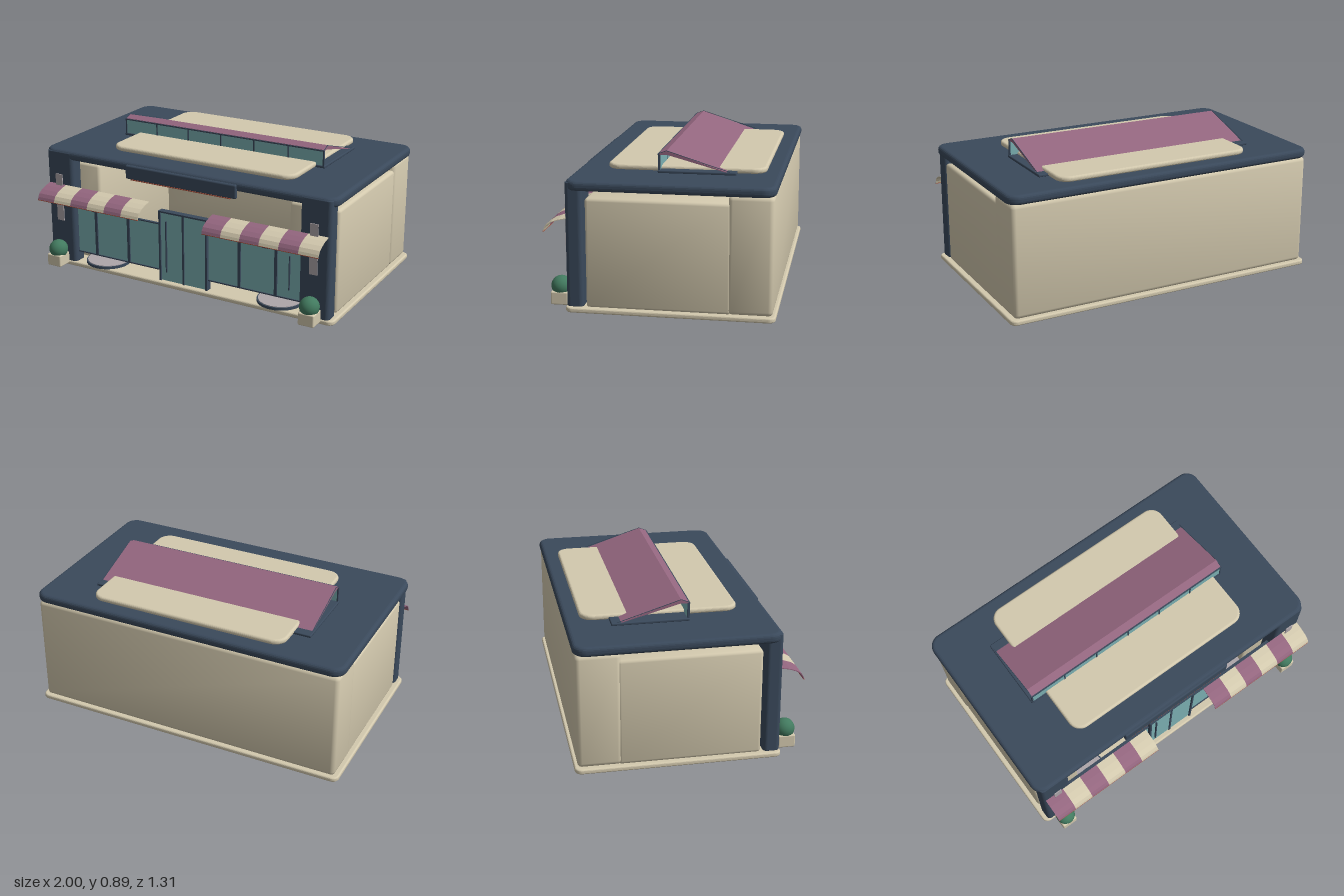
import * as THREE from 'three';
import { RoundedBoxGeometry } from 'three/addons/geometries/RoundedBoxGeometry.js';

export function createModel() {
  const group = new THREE.Group();
  const paint = (name, color) => {
    const m = new THREE.MeshStandardMaterial({ color });
    m.name = name;
    return m;
  };
  const cream = paint('cream', 0xd3c9ae);
  const navy = paint('navy', 0x3a495b);
  const teal = paint('tealGlass', 0x7cb1b3);
  const mauve = paint('mauve', 0x94667f);
  const green = paint('leafGreen', 0x427a5f);
  const red = paint('brickRed', 0xae5540);
  const grey = paint('lilacGrey', 0xaea6aa);

  const add = (name, geo, mat, x = 0, y = 0, z = 0) => {
    const m = new THREE.Mesh(geo, mat);
    m.name = name;
    m.position.set(x, y, z);
    group.add(m);
    return m;
  };
  // Box given by its limits on each axis, optionally with rounded edges
  const box = (name, mat, [x0, x1], [y0, y1], [z0, z1], r = 0) => {
    const s = [x1 - x0, y1 - y0, z1 - z0];
    const geo = r ? new RoundedBoxGeometry(...s, 3, r) : new THREE.BoxGeometry(...s);
    return add(name, geo, mat, (x0 + x1) / 2, (y0 + y1) / 2, (z0 + z1) / 2);
  };
  // Lean the normals outwards from the middle so that broad faces shade softly
  const soften = (mesh, amount) => {
    const { position, normal } = mesh.geometry.attributes;
    mesh.geometry.computeBoundingBox();
    const size = mesh.geometry.boundingBox.getSize(new THREE.Vector3());
    const p = new THREE.Vector3(), n = new THREE.Vector3();
    for (let i = 0; i < position.count; i++) {
      p.fromBufferAttribute(position, i).divide(size);
      n.fromBufferAttribute(normal, i).addScaledVector(p, 2 * amount).normalize();
      normal.setXYZ(i, n.x, n.y, n.z);
    }
  };
  // Flat slab with rounded plan corners and a soft rim
  const slab = (name, mat, [x0, x1], [y0, y1], [z0, z1], r, b) => {
    const w = (x1 - x0) / 2 - b, d = (z1 - z0) / 2 - b;
    const s = new THREE.Shape();
    s.moveTo(-w + r, -d);
    s.lineTo(w - r, -d);
    s.absarc(w - r, -d + r, r, -Math.PI / 2, 0);
    s.absarc(w - r, d - r, r, 0, Math.PI / 2);
    s.absarc(-w + r, d - r, r, Math.PI / 2, Math.PI);
    s.absarc(-w + r, -d + r, r, Math.PI, Math.PI * 1.5);
    const geo = new THREE.ExtrudeGeometry(s, {
      depth: y1 - y0 - 2 * b, bevelThickness: b, bevelSize: b, bevelSegments: 4, curveSegments: 8,
    });
    geo.rotateX(-Math.PI / 2);
    return add(name, geo, mat, (x0 + x1) / 2, y0 + b, (z0 + z1) / 2);
  };
  // Closed [z, y] profile extended along x
  const extrudeX = (name, mat, points, x0, x1) => {
    const s = new THREE.Shape(points.map(([z, y]) => new THREE.Vector2(-z, y)));
    const geo = new THREE.ExtrudeGeometry(s, { depth: x1 - x0, bevelEnabled: false });
    geo.rotateY(Math.PI / 2);
    return add(name, geo, mat, x0);
  };

  // Ground slab, back block and roof
  slab('base', cream, [-1, 1], [0, 0.03], [-0.655, 0.53], 0.03, 0.01);
  soften(box('backWall', cream, [-0.975, 0.975], [0.028, 0.703], [-0.638, -0.388], 0.025), 0.2);
  slab('roof', navy, [-0.995, 0.995], [0.7, 0.757], [-0.648, 0.525], 0.055, 0.022);

  // Raised roof pad and skylight
  slab('roofPad', cream, [-0.602, 0.648], [0.755, 0.788], [-0.56, 0.358], 0.065, 0.014);
  box('skylightBase', navy, [-0.705, 0.705], [0.755, 0.772], [-0.398, 0.05], 0.006);
  box('skylightGlass', teal, [-0.695, 0.695], [0.765, 0.862], [0.037, 0.045]);
  box('skylightHead', navy, [-0.7, 0.7], [0.859, 0.866], [0.042, 0.051]);
  for (let i = 0; i < 7; i++) {
    const x = -0.695 + i * 1.39 / 6;
    box('skylightMullion', navy, [x - 0.004, x + 0.004], [0.765, 0.862], [0.036, 0.049]);
  }
  extrudeX('skylightCover', mauve,
    [[0.044, 0.868], [0, 0.884], [-0.355, 0.768], [-0.355, 0.765], [0, 0.861], [0.044, 0.859]], -0.695, 0.695);
  for (const x of [-0.698, 0.695]) {
    extrudeX('skylightEdge', navy,
      [[0.05, 0.867], [0, 0.886], [-0.385, 0.767], [-0.385, 0.764], [0, 0.883], [0.05, 0.864]], x, x + 0.003);
  }

  for (const s of [-1, 1]) {
    const span = (a, b) => (s > 0 ? [a, b] : [-b, -a]);
    // Side wall and front pillar
    soften(box('sideWall', cream, span(0.66, 0.97), [0.026, 0.658], [-0.405, 0.412], 0.018), 0.2);
    slab('pillar', navy, span(0.78, 0.972), [0.028, 0.745], [0.428, 0.525], 0.02, 0.005);
    box('pillarPanel', grey, span(0.85, 0.9), [0.3, 0.605], [0.535, 0.541]);

    // Potted bush
    box('planter', cream, span(0.828, 0.928), [0.018, 0.094], [0.53, 0.63], 0.008);
    add('bush', new THREE.SphereGeometry(0.059, 24, 16), green, s * 0.876, 0.12, 0.577);

    // Shop windows with frame
    box('window', teal, span(0.165, 0.79), [0.096, 0.388], [0.478, 0.486]);
    box('windowHead', navy, span(0.165, 0.79), [0.387, 0.394], [0.475, 0.493]);
    box('windowSill', navy, span(0.165, 0.79), [0.09, 0.097], [0.475, 0.493]);
    for (const d of [0.388, 0.628]) {
      const x = s * d - 0.011;
      box('windowMullion', navy, [x - 0.009, x + 0.009], [0.09, 0.394], [0.474, 0.494]);
    }

    // Round display platform and low shelf with goods
    add('platform', new THREE.CylinderGeometry(0.14, 0.14, 0.016, 32), navy, s * 0.61, 0.038, 0.41);
    add('platformTop', new THREE.CylinderGeometry(0.132, 0.132, 0.004, 32), grey, s * 0.61, 0.048, 0.41);
    box('shelf', cream, span(0.27, 0.66), [0.03, 0.058], [0.08, 0.25], 0.008);
    [red, teal, red].forEach((mat, i) => {
      const x = 0.37 + i * 0.105;
      box('goods', mat, span(x - 0.02, x + 0.02), [0.058, 0.085], [0.19, 0.23]);
    });

    // Double door leaf
    box('doorGlass', teal, span(0.006, 0.158), [0.032, 0.474], [0.48, 0.498]);
    box('doorJamb', navy, span(0.156, 0.168), [0.03, 0.482], [0.468, 0.508]);

    // Striped curved awning with front trim and bracket
    const awningLeft = s * 0.588 - 0.369;
    for (let i = 0; i < 6; i++) {
      const x = awningLeft + i * 0.123;
      extrudeX('awningStripe', i % 2 ? cream : mauve,
        [[0.525, 0.536], [0.57, 0.527], [0.61, 0.513], [0.638, 0.495], [0.65, 0.475], [0.655, 0.459],
          [0.651, 0.459], [0.646, 0.473], [0.635, 0.491], [0.608, 0.509], [0.569, 0.523], [0.525, 0.532]],
        x, x + 0.123);
    }
    box('awningTrim', red, [awningLeft, awningLeft + 0.738], [0.455, 0.459], [0.651, 0.656]);
    box('awningBracket', navy, span(0.568, 0.608), [0.415, 0.423], [0.535, 0.575]);
  }

  // Door frame and handles
  box('doorHead', navy, [-0.168, 0.168], [0.472, 0.482], [0.468, 0.508]);
  box('doorMiddle', navy, [-0.006, 0.006], [0.03, 0.474], [0.475, 0.504]);
  box('doorHandle', navy, [-0.121, -0.114], [0.09, 0.42], [0.497, 0.508]);
  box('windowHandle', navy, [0.702, 0.708], [0.15, 0.36], [0.486, 0.496]);

  // Blank sign board on the roof edge
  box('signBoard', navy, [-0.378, 0.378], [0.657, 0.743], [0.512, 0.538], 0.01);
  box('signTrim', red, [-0.34, 0.34], [0.653, 0.658], [0.52, 0.536]);

  return group;
}
